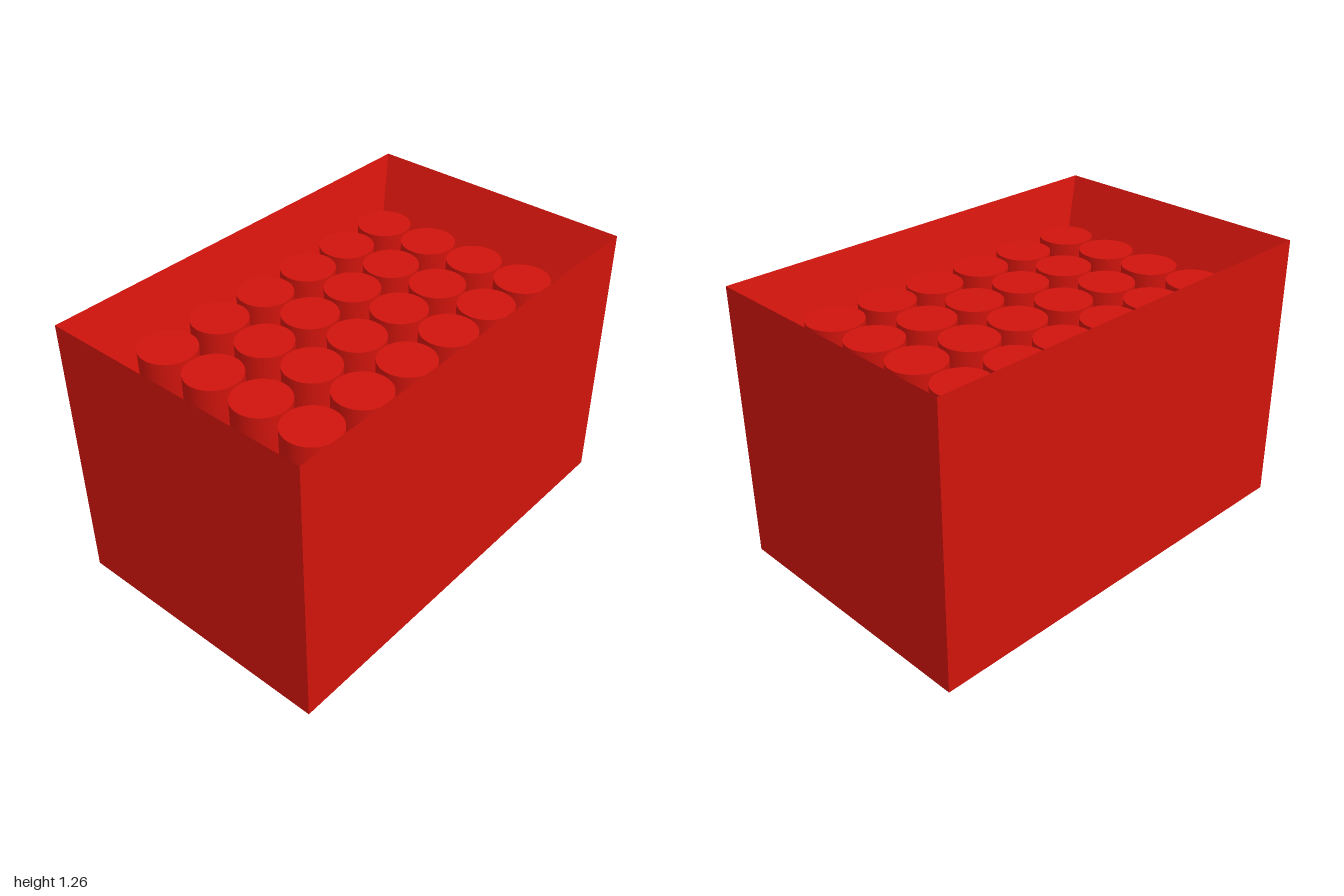
import * as THREE from 'three';

const RED = 0xd0140c;
const HEIGHT = 1.265, FLOOR = 0.89, BOTTLE_TOP = 1.103;

// Joins rectangular rings [halfX, y, halfZ] into one faceted skin
function loftRectangles(rings) {
  const corners = [[1, 1], [1, -1], [-1, -1], [-1, 1]];
  const positions = [];
  const point = ([hx, y, hz], i) => {
    const [sx, sz] = corners[i % 4];
    return [sx * hx, y, sz * hz];
  };
  for (let r = 0; r < rings.length - 1; r++) {
    for (let i = 0; i < 4; i++) {
      const a = point(rings[r], i), b = point(rings[r], i + 1);
      const c = point(rings[r + 1], i + 1), d = point(rings[r + 1], i);
      // A ring of zero size is the centre of a cap, so one triangle is enough
      if (rings[r][0] > 0) positions.push(...a, ...b, ...c);
      if (rings[r + 1][0] > 0) positions.push(...a, ...c, ...d);
    }
  }
  const geometry = new THREE.BufferGeometry();
  geometry.setAttribute('position', new THREE.Float32BufferAttribute(positions, 3));
  geometry.computeVertexNormals();
  return geometry;
}

export function createModel() {
  const model = new THREE.Group();
  model.name = 'crate';
  const material = new THREE.MeshStandardMaterial({ color: RED });

  // Crate: base, straight outer walls, knife-edge rim, sloped inner walls, floor
  const box = new THREE.Mesh(loftRectangles([
    [0, 0, 0],
    [1, 0, 0.632],
    [1, HEIGHT, 0.632],
    [0.81, FLOOR, 0.517],
    [0, FLOOR, 0],
  ]), material);
  box.name = 'crateBox';
  model.add(box);

  // Rows of round caps standing on the inner floor
  const capHeight = BOTTLE_TOP - FLOOR;
  const capGeometry = new THREE.CylinderGeometry(0.123, 0.123, capHeight, 48);
  const caps = new THREE.Group();
  caps.name = 'caps';
  for (const z of [-0.387, -0.13, 0.126, 0.381]) {
    for (const x of [-0.67, -0.388, -0.12, 0.148, 0.408, 0.675]) {
      const cap = new THREE.Mesh(capGeometry, material);
      cap.name = 'cap';
      cap.position.set(x, FLOOR + capHeight / 2, z);
      caps.add(cap);
    }
  }
  model.add(caps);
  return model;
}
